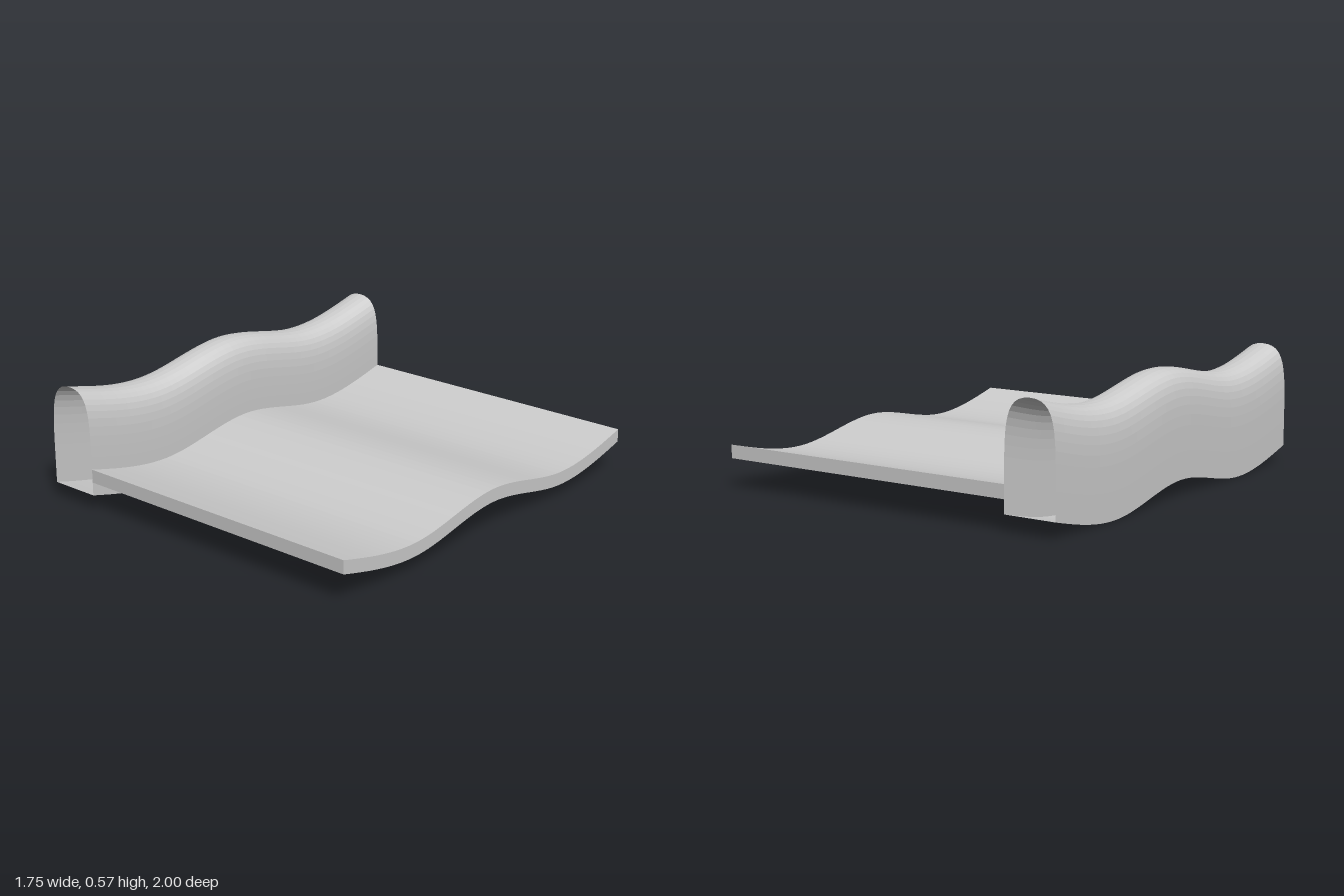
import * as THREE from 'three';

const STEPS = 48;      // slices along the length
const AMP = 0.0753;    // height of the wave

// Natural cubic spline wave: crests at z = 0 and ±1, lowest near z = ±0.55
function wave(z) {
  const a = Math.abs(z), m0 = -20.571, m1 = 17.143, h = 0.5;
  let s;
  if (a <= h) {
    const r = h - a;
    s = (m0 * r ** 3 + m1 * a ** 3) / (6 * h) + (1 / h - m0 * h / 6) * r - m1 * h / 6 * a;
  } else {
    const r = 1 - a;
    s = m1 * r ** 3 / (6 * h) - m1 * h / 6 * r + (a - h) / h;
  }
  return AMP * (s + 0.022);
}

// Open-ended tube: sweeps a counter-clockwise closed outline along z, following the wave
function sweep(outline) {
  const n = outline.length, pos = [], idx = [];
  for (let i = 0; i <= STEPS; i++) {
    const z = 1 - 2 * i / STEPS;
    for (const p of outline) pos.push(p.x, p.y + wave(z), z);
  }
  for (let i = 0; i < STEPS; i++) {
    for (let j = 0; j < n; j++) {
      const a = i * n + j, b = i * n + (j + 1) % n, c = b + n, d = a + n;
      idx.push(a, d, b, b, d, c);
    }
  }
  const g = new THREE.BufferGeometry();
  g.setAttribute('position', new THREE.Float32BufferAttribute(pos, 3));
  g.setIndex(idx);
  g.computeVertexNormals();
  return g;
}

export function createModel() {
  const group = new THREE.Group();
  const material = new THREE.MeshStandardMaterial({
    color: 0xcccccc, flatShading: true, side: THREE.DoubleSide,
  });

  // Deck: a solid slab bent along the wave
  const slab = new THREE.BoxGeometry(1.5, 0.0625, 2, 1, 1, STEPS);
  slab.translate(0.125, 0.094, 0);
  const p = slab.attributes.position;
  for (let i = 0; i < p.count; i++) p.setY(i, p.getY(i) + wave(p.getZ(i)));
  slab.computeVertexNormals();
  const deck = new THREE.Mesh(slab, material);
  deck.name = 'deck';
  group.add(deck);

  // Side rail: a hollow round-topped shell with open ends
  const w = 0.125, top = 0.49;
  const half = new THREE.CubicBezierCurve(
    new THREE.Vector2(w, 0.125), new THREE.Vector2(w, 0.375),
    new THREE.Vector2(w, top), new THREE.Vector2(0, top),
  ).getPoints(12);
  const mirrored = half.slice(0, -1).reverse().map((v) => new THREE.Vector2(-v.x, v.y));
  const outline = [new THREE.Vector2(-w, 0), new THREE.Vector2(w, 0), ...half, ...mirrored];
  const rail = new THREE.Mesh(sweep(outline), material);
  rail.name = 'sideRail';
  rail.position.x = -0.75;
  group.add(rail);

  return group;
}
